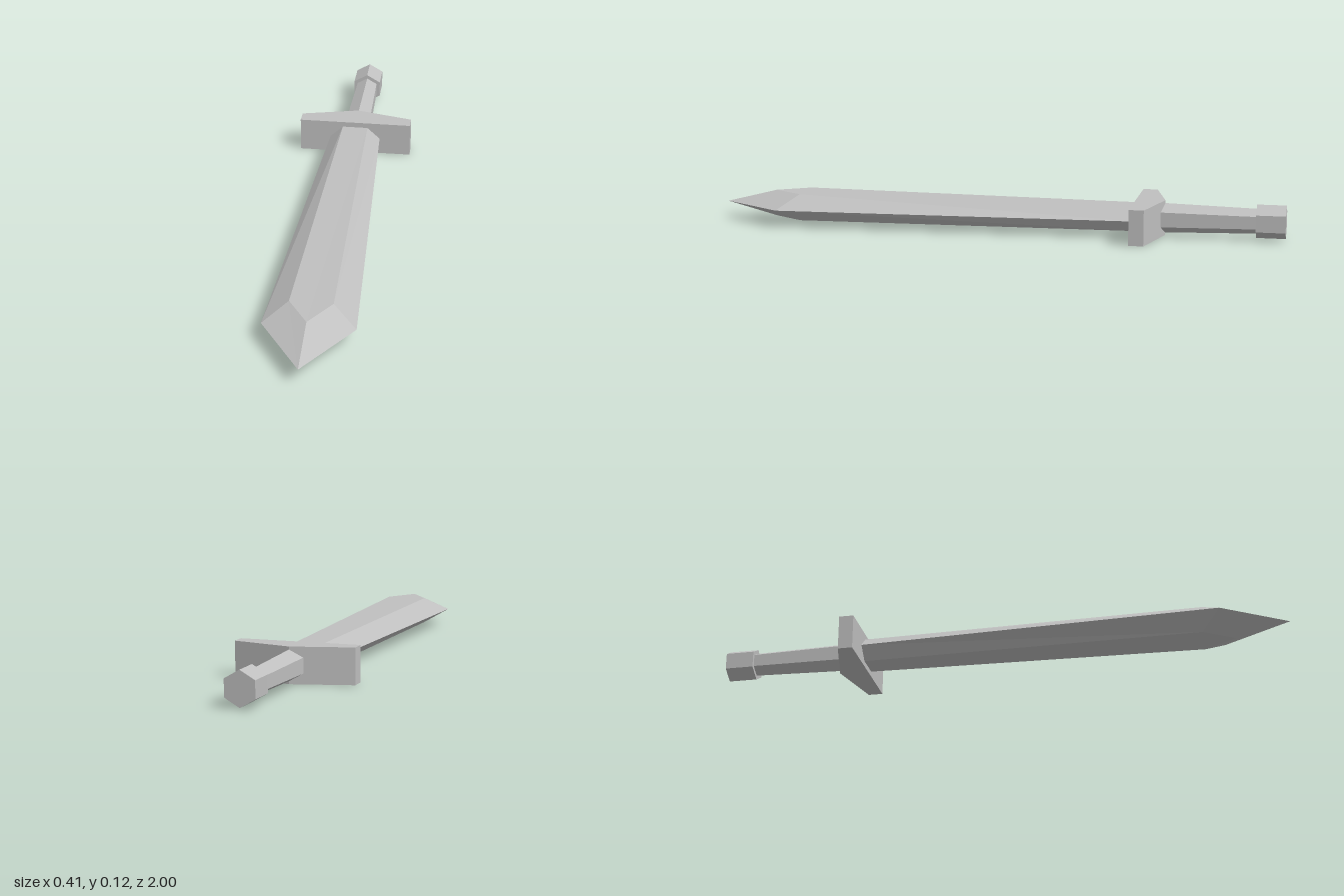
import * as THREE from 'three';

const MID = 0.061; // height of the sword's centre line

// Eight-point blade outline, counter-clockwise seen from the tip.
// Each corner has its own z so the ridge can end in a point.
function bladeRing(edge, flat, rise, zEdge, zFlat, zRidge) {
  return [
    [edge, 0, zEdge], [flat, rise, zFlat], [0, rise, zRidge], [-flat, rise, zFlat],
    [-edge, 0, zEdge], [-flat, -rise, zFlat], [0, -rise, zRidge], [flat, -rise, zFlat],
  ];
}

function bladeGeometry() {
  const base = bladeRing(0.092, 0.046, 0.042, -0.5, -0.5, -0.5);
  const end = bladeRing(0.151, 0.071, 0.047, 0.77, 0.705, 0.815);
  const tip = [0, 0, 1];
  const points = [];
  for (let i = 0; i < 8; i++) {
    const j = (i + 1) % 8;
    points.push(base[i], base[j], end[j], base[i], end[j], end[i]); // long faces
    points.push(end[i], end[j], tip); // point
    points.push(base[j], base[i], [0, 0, -0.5]); // closed end inside the guard
  }
  const geometry = new THREE.BufferGeometry();
  geometry.setAttribute('position', new THREE.Float32BufferAttribute(points.flat(), 3));
  geometry.computeVertexNormals();
  return geometry;
}

// Six-sided bar along z with a corner on top
function hexBar(frontRadius, backRadius, zFront, zBack) {
  return new THREE.CylinderGeometry(frontRadius, backRadius, zFront - zBack, 6)
    .rotateX(Math.PI / 2)
    .translate(0, 0, (zFront + zBack) / 2);
}

export function createModel() {
  const model = new THREE.Group();
  model.name = 'sword';
  const steel = new THREE.MeshStandardMaterial({ color: 0xbfbfbf, flatShading: true });
  steel.name = 'grey steel';

  const add = (name, geometry, y) => {
    const mesh = new THREE.Mesh(geometry, steel);
    mesh.name = name;
    mesh.position.y = y;
    model.add(mesh);
  };

  add('blade', bladeGeometry(), MID);

  // Crossguard: flat towards the blade, peaked towards the grip
  const outline = new THREE.Shape([
    [-0.206, 0.487], [0.206, 0.487], [0.206, 0.538], [0, 0.588], [-0.206, 0.538],
  ].map(([x, y]) => new THREE.Vector2(x, y)));
  const guard = new THREE.ExtrudeGeometry(outline, { depth: 2 * MID, bevelEnabled: false });
  add('crossguard', guard.rotateX(-Math.PI / 2).scale(1, 1, 1), 0);

  add('grip', hexBar(0.052, 0.043, -0.56, -0.91), MID);
  add('pommel', hexBar(0.058, 0.058, -0.9, -1), MID);

  return model;
}
